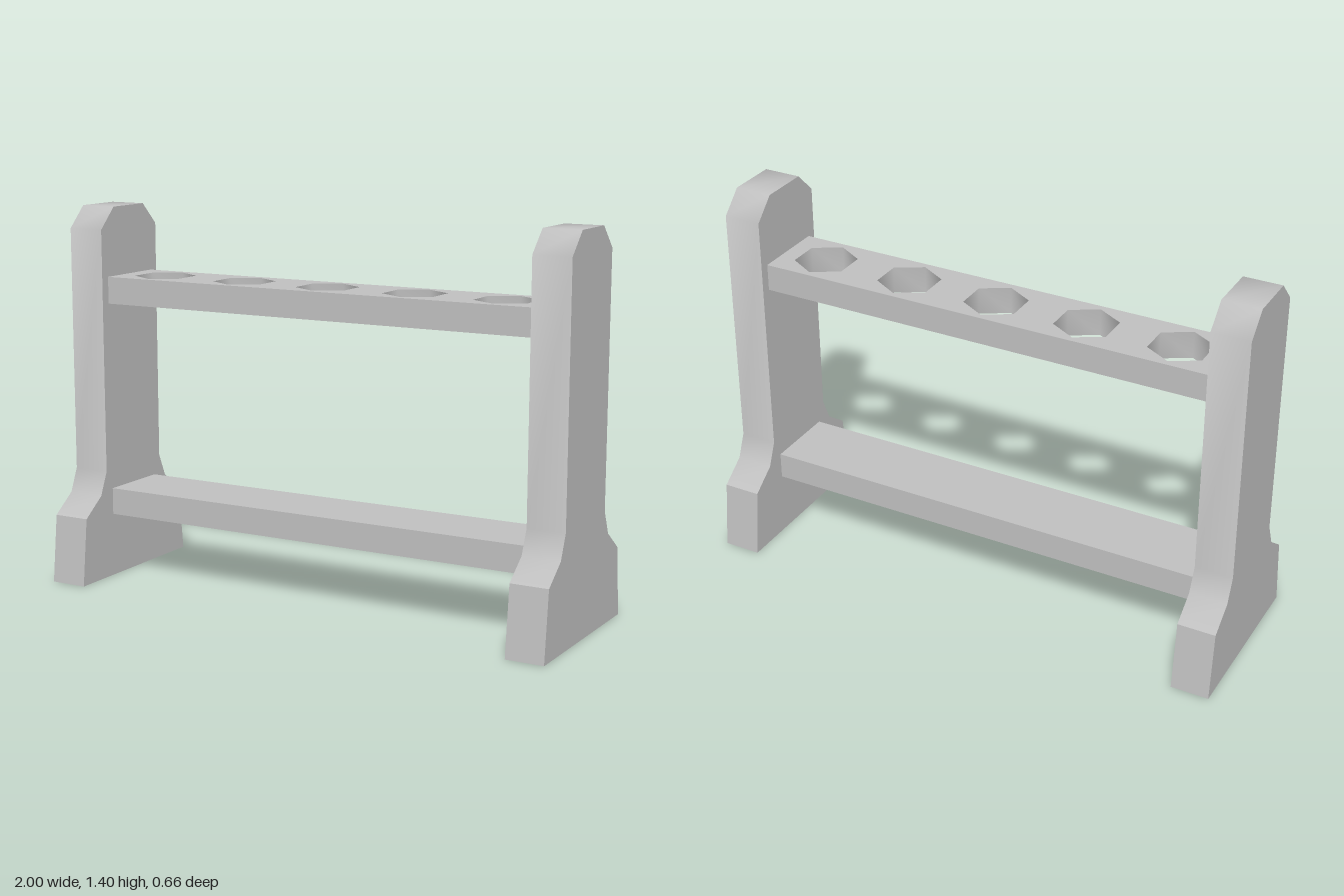
import * as THREE from 'three';
import { toCreasedNormals } from 'three/addons/utils/BufferGeometryUtils.js';

const rad = THREE.MathUtils.degToRad;

export function createModel() {
  const group = new THREE.Group();
  group.name = 'rack';
  const grey = new THREE.MeshStandardMaterial({ color: 0xbfbfbf });
  grey.name = 'grey';

  const add = (name, geometry, x, y, z) => {
    const mesh = new THREE.Mesh(geometry, grey);
    mesh.name = name;
    mesh.position.set(x, y, z);
    group.add(mesh);
  };

  // End supports: mirrored half profile (depth, height), softly shaded rim with a hard foot edge
  const half = [[0.331, 0], [0.304, 0.253], [0.21, 0.323], [0.173, 0.41], [0.173, 1.32], [0.093, 1.4]];
  const outline = [...half, ...half.map(([z, y]) => [-z, y]).reverse()];
  const thickness = 0.14;
  const profile = new THREE.Shape(outline.map(([z, y]) => new THREE.Vector2(z, y)));
  const panel = new THREE.ExtrudeGeometry(profile, { depth: thickness, bevelEnabled: false });
  panel.rotateY(Math.PI / 2);
  const supportGeometry = toCreasedNormals(panel, rad(46));
  add('leftSupport', supportGeometry, 1 - thickness, 0, 0);
  add('rightSupport', supportGeometry, -1, 0, 0);

  // Upper shelf with five hexagonal holes
  const w = 0.86, d = 0.137;
  const plank = new THREE.Shape([[-w, -d], [w, -d], [w, d], [-w, d]].map(p => new THREE.Vector2(...p)));
  for (let i = -2; i <= 2; i++) {
    const points = [];
    for (let k = 0; k < 6; k++) {
      const a = rad(90 - 60 * k);
      points.push(new THREE.Vector2(i * 0.348 + 0.114 * Math.cos(a), 0.114 * Math.sin(a)));
    }
    plank.holes.push(new THREE.Path(points));
  }
  const shelf = new THREE.ExtrudeGeometry(plank, { depth: 0.1, bevelEnabled: false });
  shelf.rotateX(-Math.PI / 2);
  add('upperShelf', toCreasedNormals(shelf, rad(65)), 0, 1.043, 0);

  // Lower solid rail
  add('lowerRail', new THREE.BoxGeometry(2 * w, 0.1, 2 * d), 0, 0.288, 0);

  return group;
}
